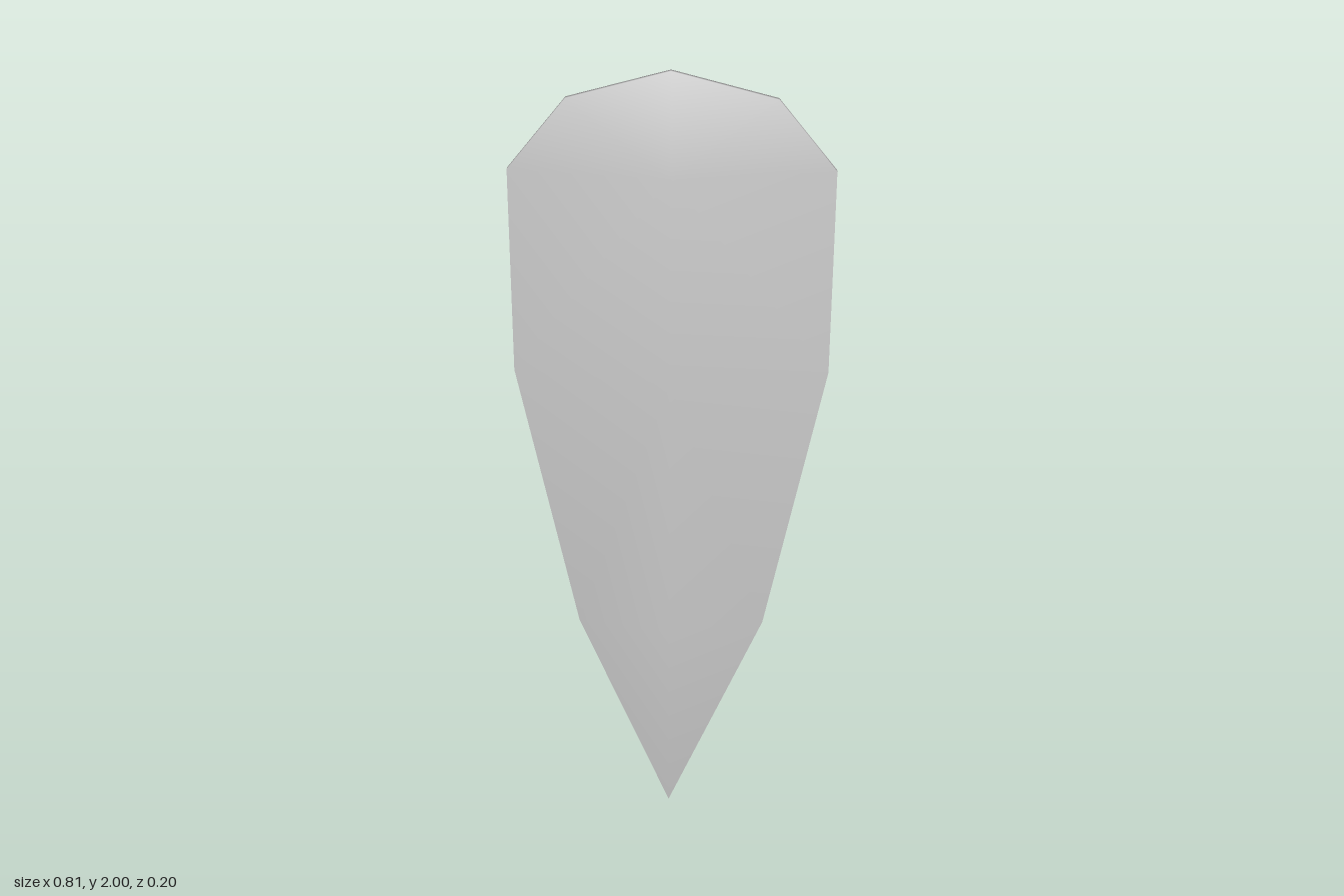
import * as THREE from 'three';

// Front skin, bottom to top: rows of [right edge, ridge, left edge]
const TIP = [0, 0, 0.02];
const ROWS = [
  [[-0.235, 0.53, 0.05], [0.012, 0.53, 0.075], [0.242, 0.53, -0.035]],
  [[-0.39, 1.23, 0.075], [0.02, 1.23, 0.1], [0.397, 1.23, -0.067]],
  [[-0.401, 1.75, 0.061], [0.015, 1.75, 0.07], [0.404, 1.75, -0.085]],
];
const CROWN = [[-0.255, 1.93, 0.037], [0.002, 2, 0], [0.262, 1.93, -0.052]];
// Offset from the front skin to the hollow back skin
const THICKNESS = [-0.004, 0, -0.02];

export function createModel() {
  const front = [TIP, ...ROWS.flat(), ...CROWN];
  const back = front.map((p) => p.map((v, i) => v + THICKNESS[i]));
  const n = front.length;
  const at = (row, col) => 1 + row * 3 + col;

  // Front triangles, counter-clockwise seen from +z
  const faces = [[0, at(0, 1), at(0, 0)], [0, at(0, 2), at(0, 1)]];
  for (let r = 0; r < 2; r++) {
    const [a, b, c] = [0, 1, 2].map((k) => at(r, k));
    const [d, e, f] = [0, 1, 2].map((k) => at(r + 1, k));
    // Diagonals run from the upper ridge point down to the lower edges
    faces.push([a, b, e], [a, e, d], [b, c, e], [c, f, e]);
  }
  // Crown fan around the top ridge point
  const hub = at(2, 1);
  const fan = [at(2, 2), at(3, 2), at(3, 1), at(3, 0), at(2, 0)];
  for (let i = 0; i < 4; i++) faces.push([hub, fan[i], fan[i + 1]]);

  // Back skin is the front reversed
  const index = faces.flat();
  for (const [a, b, c] of faces) index.push(a + n, c + n, b + n);

  // Thin rim wall joining both skins
  const rim = [0, at(0, 2), at(1, 2), ...fan, at(1, 0), at(0, 0)];
  rim.forEach((a, i) => {
    const b = rim[(i + 1) % rim.length];
    index.push(a, a + n, b + n, a, b + n, b);
  });

  const geometry = new THREE.BufferGeometry();
  geometry.setAttribute('position', new THREE.Float32BufferAttribute([...front, ...back].flat(), 3));
  geometry.setIndex(index);
  geometry.computeVertexNormals();

  const plate = new THREE.Mesh(geometry, new THREE.MeshStandardMaterial({ color: 0xcccccc }));
  plate.name = 'curvedPlate';
  const group = new THREE.Group();
  group.name = 'pointedPlate';
  group.add(plate);
  return group;
}
